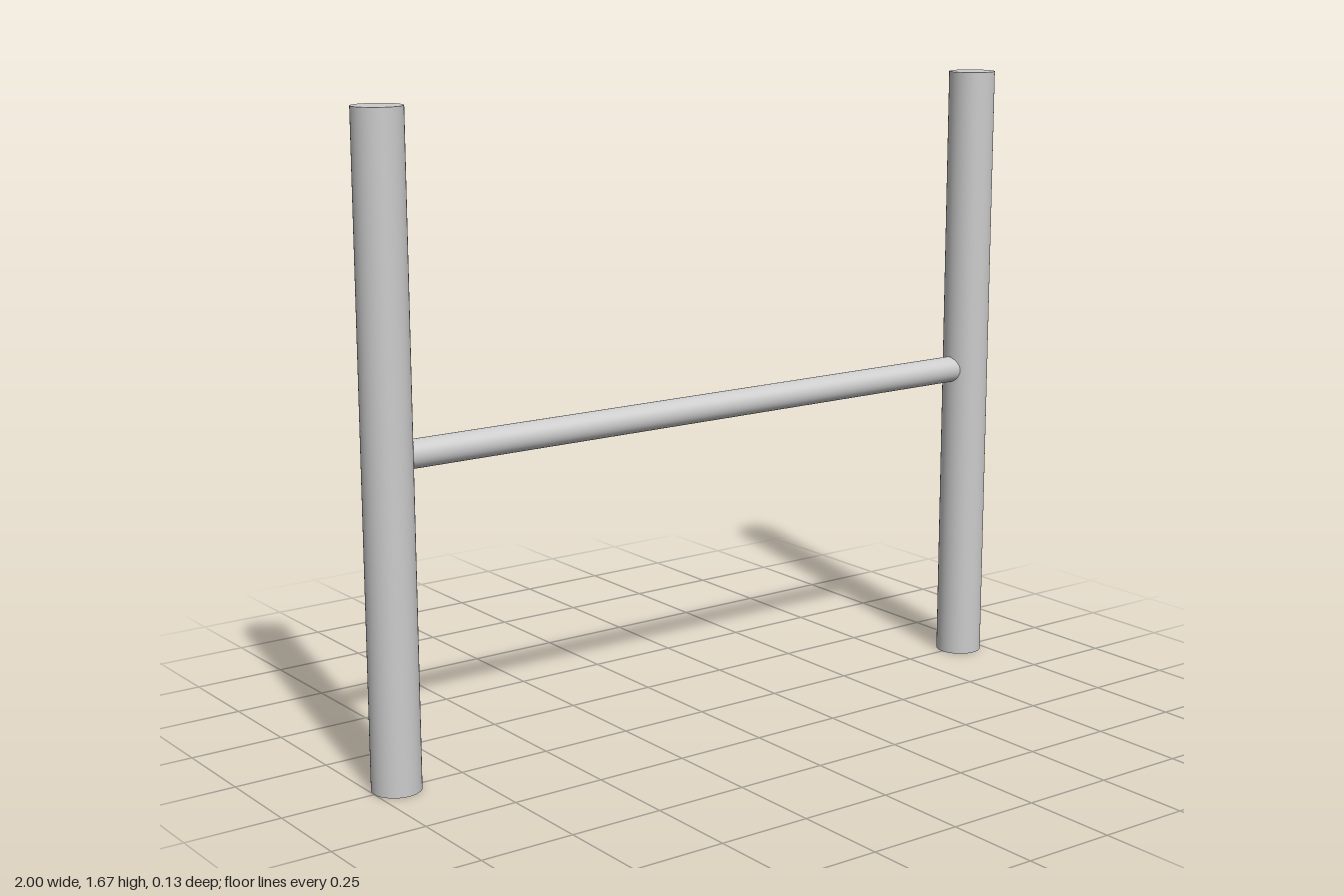
import * as THREE from 'three';

export function createModel() {
  const group = new THREE.Group();
  const material = new THREE.MeshStandardMaterial({ color: 0xcccccc });
  const height = 1.675, postRadius = 0.063, barRadius = 0.036;
  const postX = 1 - postRadius;

  // Two upright posts, mirrored about x = 0
  const postGeometry = new THREE.CylinderGeometry(postRadius, postRadius, height, 48);
  for (const [name, side] of [['leftPost', 1], ['rightPost', -1]]) {
    const post = new THREE.Mesh(postGeometry, material);
    post.name = name;
    post.position.set(side * postX, height / 2, 0);
    group.add(post);
  }

  // Crossbar at mid height, its ends buried in the posts
  const barGeometry = new THREE.CylinderGeometry(barRadius, barRadius, 2 * postX, 48);
  barGeometry.rotateZ(Math.PI / 2);
  const bar = new THREE.Mesh(barGeometry, material);
  bar.name = 'crossbar';
  bar.position.y = height / 2;
  group.add(bar);

  return group;
}
